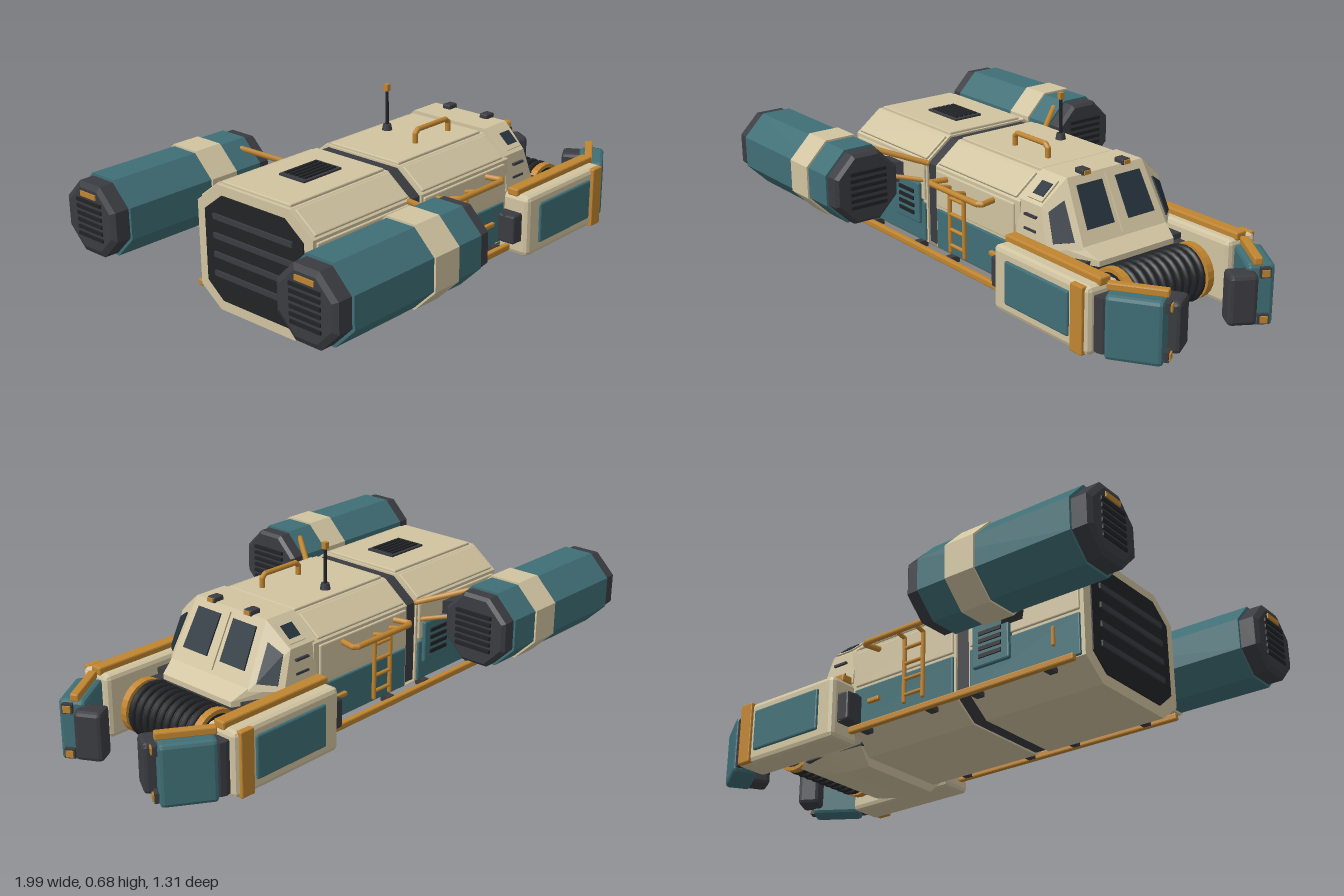
import * as THREE from 'three';
import { ConvexGeometry } from 'three/addons/geometries/ConvexGeometry.js';
import { RoundedBoxGeometry } from 'three/addons/geometries/RoundedBoxGeometry.js';

const mat = (color, flatShading = true) => new THREE.MeshStandardMaterial({ color, flatShading });
const beige = mat(0xd0c3a0), teal = mat(0x3f6e75), dark = mat(0x3b3c41), black = mat(0x222326);
const orange = mat(0xc08530), glass = mat(0x26333d), smoothOrange = mat(0xc08530, false), smoothBlack = mat(0x232427, false);
const V = (x, y, z) => new THREE.Vector3(x, y, z);

export function createModel() {
  const root = new THREE.Group();
  root.name = 'utilityShip';

  const add = (name, geo, material, pos = [0, 0, 0], parent = root) => {
    const m = new THREE.Mesh(geo, material);
    m.name = name;
    m.position.set(...pos);
    parent.add(m);
    return m;
  };
  // Box given by its extents on each axis
  const box = (name, m, x0, x1, y0, y1, z0, z1, r = 0) => {
    const s = [x1 - x0, y1 - y0, Math.abs(z1 - z0)];
    return add(name, r ? new RoundedBoxGeometry(...s, 1, r) : new THREE.BoxGeometry(...s), m,
      [(x0 + x1) / 2, (y0 + y1) / 2, (z0 + z1) / 2]);
  };
  // Straight round bars joined through a list of points
  const tube = (name, m, r, ...pts) => {
    const path = new THREE.CurvePath();
    for (let i = 1; i < pts.length; i++) path.add(new THREE.LineCurve3(V(...pts[i - 1]), V(...pts[i])));
    for (const c of path.curves) add(name, new THREE.TubeGeometry(c, 1, r, 8), m);
    for (const p of pts) add(name + 'Joint', new THREE.SphereGeometry(r, 8, 6), m, p);
  };
  // Octagonal cross-section (z, y) extruded along x
  const section = [[0.17, 0.495], [0.275, 0.415], [0.275, 0.1], [0.18, 0.03]];
  const prism = (name, m, x0, x1, k = 1) => {
    const pts = [...section, ...section.map(([z, y]) => [-z, y]).reverse()]
      .map(([z, y]) => new THREE.Vector2(z * k, 0.265 + (y - 0.265) * k));
    const g = new THREE.ExtrudeGeometry(new THREE.Shape(pts), { depth: x1 - x0, bevelEnabled: false });
    add(name, g.rotateY(Math.PI / 2), m, [x0, 0, 0]);
  };
  // Raised plate lying on the hull between two section points
  const plate = (name, m, x0, x1, [z0, y0], [z1, y1], t = 0.016) => {
    const len = Math.hypot(z1 - z0, y1 - y0) - 0.016;
    const p = add(name, new RoundedBoxGeometry(x1 - x0, len, t, 1, 0.004), m,
      [(x0 + x1) / 2, (y0 + y1) / 2, (z0 + z1) / 2]);
    p.rotation.x = Math.atan2(z1 - z0, y1 - y0);
  };
  // Thin slab on part of a four-cornered face (a-b is the top edge, d-c the bottom)
  const pane = (name, m, [a, b, c, d], u0, u1, v0, v1, t = 0.006) => {
    const at = (u, v) => a.clone().lerp(b, u).lerp(d.clone().lerp(c, u), v);
    const n = b.clone().sub(a).cross(d.clone().sub(a)).setLength(t);
    const q = [at(u0, v0), at(u1, v0), at(u1, v1), at(u0, v1)];
    add(name, new ConvexGeometry(q.flatMap(p => [p.clone().add(n), p.clone().sub(n)])), m);
  };

  // Hull halves with a dark joint between them
  prism('rearHull', beige, -0.72, -0.245);
  prism('frontHull', beige, -0.19, 0.3);
  prism('hullJoint', dark, -0.25, -0.18, 0.97);
  for (const [x0, x1] of [[-0.705, -0.255], [-0.18, 0.275]]) {
    plate('roofPanel', beige, x0, x1, [-0.17, 0.497], [0.17, 0.497]);
    for (const s of [1, -1]) {
      plate('shoulderPanel', beige, x0, x1, [0.172 * s, 0.495], [0.275 * s, 0.417]);
      plate('upperSidePanel', beige, x0, x1, [0.275 * s, 0.412], [0.275 * s, 0.258]);
      plate('lowerSidePanel', teal, x0, x1, [0.275 * s, 0.262], [0.275 * s, 0.095]);
    }
  }

  // Stern door
  add('sternDoor', new ConvexGeometry([-0.725, -0.7].flatMap(x => [1, -1].flatMap(s =>
    [V(x, 0.46, 0.15 * s), V(x, 0.395, 0.235 * s), V(x, 0.13, 0.235 * s), V(x, 0.07, 0.16 * s)]))), black);
  for (let i = 0; i < 4; i++) box('sternRib', dark, -0.732, -0.715, 0.16 + i * 0.07, 0.18 + i * 0.07, -0.19, 0.19);

  // Cab with raked front and angled corners
  const T = 0.51, B = 0.29;
  const cabPts = [1, -1].flatMap(s => [
    V(0.29, T, 0.17 * s), V(0.42, T, 0.17 * s), V(0.29, 0.425, 0.268 * s), V(0.405, 0.425, 0.268 * s),
    V(0.29, B, 0.282 * s), V(0.45, B, 0.282 * s), V(0.535, B, 0.19 * s)]);
  add('cab', new ConvexGeometry(cabPts), beige);
  const front = [V(0.42, T, 0.17), V(0.42, T, -0.17), V(0.535, B, -0.19), V(0.535, B, 0.19)];
  pane('leftWindshield', glass, front, 0.09, 0.41, 0.13, 0.75);
  pane('rightWindshield', glass, front, 0.59, 0.91, 0.13, 0.75);
  pane('windshieldPost', beige, front, 0.47, 0.53, 0.06, 0.9);
  for (const s of [1, -1]) {
    const corner = [V(0.42, 0.5, 0.176 * s), V(0.405, 0.425, 0.265 * s), V(0.45, B, 0.282 * s), V(0.535, B, 0.19 * s)];
    pane('cornerWindow', glass, corner, 0.2, 0.8, 0.22, 0.88, 0.008);
    const shoulder = [V(0.3, T, 0.17 * s), V(0.41, T, 0.17 * s), V(0.405, 0.425, 0.268 * s), V(0.3, 0.425, 0.268 * s)];
    pane('shoulderWindowFrame', beige, shoulder, 0.2, 0.93, 0.18, 0.88, 0.006);
    pane('shoulderWindow', glass, shoulder, 0.34, 0.84, 0.32, 0.74, 0.009);
    for (const y of [0.33, 0.38]) box('cabVent', dark, 0.33, 0.39, y, y + 0.008, 0.262 * s, 0.282 * s);
    box('roofLampBase', dark, 0.385, 0.43, 0.505, 0.527, (0.09 - 0.018) * s, (0.09 + 0.018) * s, 0.005);
    box('roofLamp', orange, 0.425, 0.435, 0.509, 0.523, 0.077 * s, 0.103 * s);
  }

  // Nose: sill, dark bay and chin
  add('noseSill', new ConvexGeometry([1, -1].flatMap(s => [V(0.4, 0.3, 0.26 * s), V(0.53, 0.3, 0.19 * s),
    V(0.59, 0.265, 0.17 * s), V(0.59, 0.245, 0.17 * s), V(0.4, 0.245, 0.26 * s)])), beige);
  box('noseBay', dark, 0.28, 0.56, 0.06, 0.26, -0.235, 0.235);
  add('chin', new ConvexGeometry([1, -1].flatMap(s => [V(0.28, 0.1, 0.27 * s), V(0.5, 0.09, 0.27 * s),
    V(0.62, 0.06, 0.2 * s), V(0.3, 0, 0.17 * s), V(0.42, 0.006, 0.17 * s), V(0.56, 0.03, 0.165 * s)])), beige);

  // Ribbed drum between two discs
  const drum = new THREE.Group();
  drum.name = 'drum';
  drum.position.set(0.67, 0.17, 0);
  root.add(drum);
  const axle = (name, r, w, z, m) =>
    add(name, new THREE.CylinderGeometry(r, r, w, 24).rotateX(Math.PI / 2), m, [0, 0, z], drum);
  axle('drumCore', 0.085, 0.38, 0, black);
  for (let i = 0; i < 9; i++) add('drumRib', new THREE.TorusGeometry(0.091, 0.012, 8, 24), smoothBlack, [0, 0, (i - 4) * 0.035], drum);
  for (const s of [1, -1]) {
    axle('drumDisc', 0.1, 0.028, 0.175 * s, orange);
    axle('drumHub', 0.05, 0.05, 0.19 * s, dark);
    box('drumBracket', dark, 0.5, 0.66, 0.1, 0.24, 0.19 * s, 0.235 * s, 0.01);
  }

  // Roof fittings
  box('roofVent', dark, -0.54, -0.36, 0.495, 0.512, -0.06, 0.06);
  for (let i = 0; i < 5; i++) box('roofVentSlat', black, -0.525, -0.375, 0.505, 0.518, -0.048 + i * 0.021, -0.036 + i * 0.021);
  add('antennaBase', new THREE.CylinderGeometry(0.015, 0.02, 0.025, 12), dark, [0.06, 0.515, -0.105]);
  tube('antennaMast', smoothBlack, 0.006, [0.06, 0.51, -0.105], [0.06, 0.66, -0.105]);
  box('antennaTip', orange, 0.051, 0.069, 0.655, 0.68, -0.114, -0.096);
  tube('roofHandle', smoothOrange, 0.01, [0.015, 0.5, 0.07], [0.015, 0.54, 0.07], [0.03, 0.553, 0.07],
    [0.185, 0.553, 0.07], [0.2, 0.54, 0.07], [0.2, 0.5, 0.07]);

  for (const s of [1, -1]) {
    // Side rails, ladder and small fittings
    box('lowerRail', orange, -0.7, 0.27, 0.073, 0.098, 0.298 * s, 0.32 * s, 0.005);
    for (const x of [-0.6, -0.3, -0.1, 0.2]) box('railMount', dark, x, x + 0.03, 0.075, 0.1, 0.26 * s, 0.3 * s);
    tube('grabRail', smoothOrange, 0.011, [-0.11, 0.385, 0.27 * s], [-0.125, 0.385, 0.34 * s], [-0.11, 0.385, 0.352 * s],
      [0.16, 0.385, 0.352 * s], [0.175, 0.385, 0.34 * s], [0.16, 0.385, 0.27 * s]);
    for (const x of [-0.065, 0.02]) tube('ladderRail', smoothOrange, 0.008, [x, 0.13, 0.305 * s], [x, 0.375, 0.305 * s], [x, 0.385, 0.345 * s]);
    for (let i = 0; i < 4; i++) tube('ladderRung', smoothOrange, 0.007, [-0.065, 0.155 + i * 0.06, 0.305 * s], [0.02, 0.155 + i * 0.06, 0.305 * s]);
    box('doorHandle', orange, 0.15, 0.205, 0.18, 0.197, 0.28 * s, 0.297 * s, 0.004);
    tube('sternHandle', smoothOrange, 0.007, [-0.61, 0.16, 0.295 * s], [-0.61, 0.22, 0.295 * s]);
    box('sideVent', teal, -0.43, -0.275, 0.17, 0.33, 0.27 * s, 0.296 * s, 0.006);
    for (let i = 0; i < 4; i++) box('sideVentSlat', black, -0.4, -0.305, 0.2 + i * 0.028, 0.214 + i * 0.028, 0.28 * s, 0.301 * s);

    // Engine pod
    const pod = new THREE.Group();
    pod.name = s > 0 ? 'leftEngine' : 'rightEngine';
    pod.position.set(0, 0.36, 0.512 * s);
    root.add(pod);
    const oct = (name, m, x0, x1, r0, r1 = r0) => {
      const k = 1 / Math.cos(Math.PI / 8);
      add(name, new THREE.CylinderGeometry(r1 * k, r0 * k, x1 - x0, 8, 1, false, Math.PI / 8).rotateZ(-Math.PI / 2), m, [(x0 + x1) / 2, 0, 0], pod);
    };
    oct('engineBody', teal, -0.93, -0.335, 0.138);
    oct('engineBand', beige, -0.57, -0.455, 0.145);
    oct('frontCap', dark, -0.34, -0.29, 0.13);
    oct('frontCapLip', dark, -0.29, -0.278, 0.13, 0.118);
    oct('rearCap', dark, -0.985, -0.925, 0.128);
    oct('rearCapLip', dark, -0.995, -0.985, 0.108, 0.128);
    for (let i = 0; i < 6; i++) {
      const y = -0.0625 + i * 0.025;
      add('intakeSlat', new THREE.BoxGeometry(0.02, 0.013, 0.15), black, [-0.277, y, 0], pod);
      add('exhaustSlat', new THREE.BoxGeometry(0.014, 0.013, 0.13), black, [-0.993, y, 0], pod);
    }
    add('exhaustLamp', new THREE.BoxGeometry(0.014, 0.018, 0.08), orange, [-0.993, 0.088, 0], pod);

    // Engine mounts
    add('enginePylon', new ConvexGeometry([0.3, 0.38].flatMap(y => [V(-0.46, y, 0.26 * s), V(-0.37, y, 0.26 * s),
      V(-0.58, y, 0.4 * s), V(-0.49, y, 0.4 * s)])), dark);
    tube('engineBrace', smoothOrange, 0.011, [-0.25, 0.41, 0.27 * s], [-0.37, 0.468, 0.43 * s]);
    tube('engineLowerBrace', smoothOrange, 0.009, [-0.26, 0.34, 0.27 * s], [-0.36, 0.36, 0.39 * s]);

    // Front arm
    add('armHinge', new THREE.CylinderGeometry(0.045, 0.045, 0.11, 12), dark, [0.285, 0.167, 0.31 * s]);
    box('hingeBlock', dark, 0.24, 0.32, 0.11, 0.222, 0.28 * s, 0.355 * s, 0.008);
    box('arm', beige, 0.29, 0.775, 0.05, 0.288, 0.248 * s, 0.382 * s, 0.018);
    box('armPanel', teal, 0.36, 0.685, 0.092, 0.25, 0.37 * s, 0.391 * s, 0.006);
    box('armBand', orange, 0.7, 0.758, 0.052, 0.288, 0.37 * s, 0.393 * s, 0.004);
    box('armTopBar', orange, 0.29, 0.775, 0.28, 0.31, 0.285 * s, 0.332 * s, 0.006);

    // Angled jaw with a dark gripping pad
    const jaw = new THREE.Group();
    jaw.name = s > 0 ? 'leftJaw' : 'rightJaw';
    jaw.position.set(0.875, 0.163, 0.265 * s);
    jaw.rotation.y = 0.58 * s;
    root.add(jaw);
    add('jawBody', new RoundedBoxGeometry(0.19, 0.222, 0.095, 1, 0.014), teal, [0, 0, 0], jaw);
    add('jawTopBar', new RoundedBoxGeometry(0.2, 0.028, 0.03, 1, 0.005), orange, [0, 0.122, -0.012 * s], jaw);
    add('jawKnuckle', new THREE.CylinderGeometry(0.04, 0.04, 0.19, 12), dark, [-0.1, 0, 0], jaw);
    for (const y of [-0.08, 0.085]) {
      add('jawLampBase', new THREE.BoxGeometry(0.025, 0.035, 0.036), dark, [0.098, y, 0.012 * s], jaw);
      add('jawLamp', new THREE.BoxGeometry(0.014, 0.024, 0.026), orange, [0.109, y, 0.012 * s], jaw);
    }
    const pad = add('jawPad', new RoundedBoxGeometry(0.1, 0.18, 0.085, 1, 0.015), dark, [0.92, 0.163, 0.155 * s]);
    pad.rotation.y = -1.05 * s;
  }
  return root;
}
